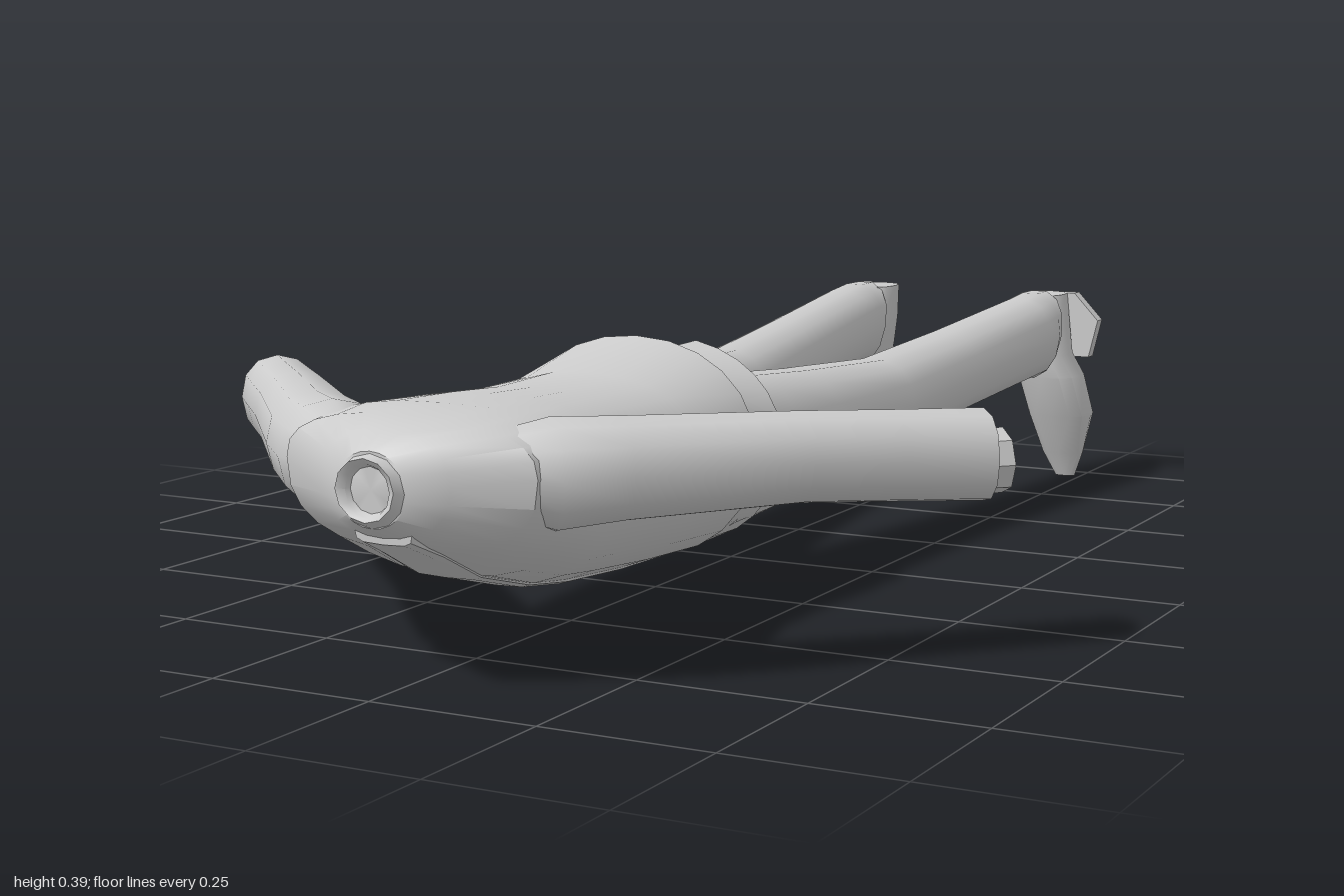
import * as THREE from 'three';
import { toCreasedNormals } from 'three/addons/utils/BufferGeometryUtils.js';

const V = (x, y, z) => new THREE.Vector3(x, y, z);
const UP = V(0, 1, 0);
const material = new THREE.MeshStandardMaterial({ color: 0xcccccc, side: THREE.DoubleSide });

// Rounded cross-section: v may reach further on one side than the other; power < 1 is boxier
function section(c, u, v, ru, rUp, rDown, power = 0.9, n = 16, from = 0, to = Math.PI * 2) {
  const closed = to - from > 6.28;
  const bend = (a) => Math.sign(a) * Math.pow(Math.abs(a), power);
  const ring = [];
  for (let i = 0; i < (closed ? n : n + 1); i++) {
    const t = from + (to - from) * i / n;
    const s = bend(Math.sin(t));
    ring.push(c.clone().addScaledVector(u, ru * bend(Math.cos(t))).addScaledVector(v, s * (s > 0 ? rUp : rDown)));
  }
  return ring;
}

// Skin joining the rings, with optional end caps
function loft(name, rings, { closed = true, capStart = true, capEnd = true, crease = 0.75 } = {}) {
  const n = rings[0].length, pos = [], index = [];
  rings.flat().forEach((p) => pos.push(p.x, p.y, p.z));
  for (let i = 0; i < rings.length - 1; i++) {
    for (let j = 0; j < (closed ? n : n - 1); j++) {
      const a = i * n + j, b = i * n + (j + 1) % n;
      index.push(a, b, b + n, a, b + n, a + n);
    }
  }
  const cap = (ring, base, flip) => {
    const m = ring.reduce((s, p) => s.add(p), V(0, 0, 0)).divideScalar(n);
    const k = pos.length / 3;
    pos.push(m.x, m.y, m.z);
    for (let j = 0; j < n; j++) {
      const a = base + j, b = base + (j + 1) % n;
      index.push(k, flip ? b : a, flip ? a : b);
    }
  };
  if (capStart) cap(rings[0], 0, true);
  if (capEnd) cap(rings[rings.length - 1], (rings.length - 1) * n, false);
  const g = new THREE.BufferGeometry();
  g.setAttribute('position', new THREE.Float32BufferAttribute(pos, 3));
  g.setIndex(index);
  const mesh = new THREE.Mesh(toCreasedNormals(g, crease), material);
  mesh.name = name;
  return mesh;
}

// Section across the body, given its extent: z, centre x, half width, bottom, top, widest height
const across = (z, cx, w, bottom, top, mid, power, n, from, to) =>
  section(V(cx, mid, z), V(-1, 0, 0), UP, w, top - mid, mid - bottom, power, n, from, to);

function arm(s) {
  const group = new THREE.Group();
  group.name = s > 0 ? 'leftArm' : 'rightArm';
  const d = V(0.698 * s, 0, -0.716), u = UP.clone().cross(d);
  const ring = ([x, z, r, bottom, top], n, power) => {
    const mid = (bottom + top) / 2;
    return section(V(x * s, mid, z), u, UP, r, top - mid, mid - bottom, power, n);
  };
  group.add(loft('sleeve', [
    [0.12, 0.87, 0.06, 0.23, 0.345],
    [0.17, 0.83, 0.075, 0.21, 0.36],
    [0.24, 0.77, 0.071, 0.22, 0.358],
    [0.41, 0.59, 0.062, 0.228, 0.352],
    [0.50, 0.495, 0.06, 0.222, 0.347],
    [0.592, 0.398, 0.057, 0.215, 0.343],
  ].map((a) => ring(a, 12, 0.9))));
  // Hollow wrist, folding inward at its open end
  group.add(loft('wrist', [
    [0.575, 0.415, 0.044, 0.225, 0.313],
    [0.608, 0.367, 0.046, 0.222, 0.313],
    [0.606, 0.369, 0.03, 0.24, 0.295],
    [0.585, 0.4, 0.026, 0.245, 0.29],
  ].map((a) => ring(a, 8, 1))));
  return group;
}

function leg(s) {
  const group = new THREE.Group();
  group.name = s > 0 ? 'leftLeg' : 'rightLeg';
  // Trouser leg: z, inner x, outer x, bottom, top, forward lean of the lower edge
  group.add(loft('trouserLeg', [
    [0.28, 0.0, 0.185, 0.1, 0.335, 0],
    [0.14, 0.0, 0.194, 0.108, 0.328, 0],
    [0.0, 0.022, 0.2, 0.125, 0.318, 0],
    [-0.25, 0.062, 0.212, 0.157, 0.306, 0],
    [-0.5, 0.088, 0.227, 0.18, 0.326, 0],
    [-0.8, 0.112, 0.246, 0.203, 0.354, 0.01],
    [-0.86, 0.116, 0.243, 0.204, 0.36, 0.02],
    [-0.91, 0.122, 0.235, 0.2, 0.36, 0.06],
  ].map(([z, a, b, lo, hi, lean]) => {
    const ring = across(z, s * (a + b) / 2, (b - a) / 2, lo, hi, (lo + hi) / 2, 0.9, 14);
    ring.forEach((p) => { p.z += lean * (hi - p.y) / (hi - lo); });
    return ring;
  })));
  // Shoe hanging toe down: y, inner x, outer x, instep z, sole z
  group.add(loft('shoe', [
    [0.35, 0.132, 0.215, -0.895, -0.995],
    [0.29, 0.13, 0.225, -0.87, -0.992],
    [0.24, 0.132, 0.235, -0.862, -0.982],
    [0.2, 0.14, 0.258, -0.868, -0.986],
    [0.125, 0.155, 0.272, -0.892, -1.0],
    [0.05, 0.176, 0.254, -0.93, -0.982],
    [0.004, 0.2, 0.238, -0.95, -0.966],
  ].map(([y, a, b, front, sole]) => {
    const r = (front - sole) / 2;
    return section(V(s * (a + b) / 2, y, (front + sole) / 2), V(1, 0, 0), V(0, 0, 1), (b - a) / 2, r, r, 0.8, 12);
  })));
  // Heel counter flaring outward behind the ankle
  const heel = new THREE.Shape([[0.2, 0.35], [0.225, 0.35], [0.272, 0.3], [0.255, 0.23], [0.2, 0.23]]
    .map(([x, y]) => new THREE.Vector2(x * s, y)));
  const flare = new THREE.Mesh(new THREE.ExtrudeGeometry(heel, { depth: 0.025, bevelEnabled: false }), material);
  flare.position.z = -0.998;
  flare.name = 'heelFlare';
  group.add(flare);
  return group;
}

export function createModel() {
  const model = new THREE.Group();
  model.name = 'proneFigure';

  // Jacket: z, half width, belly height, back height, widest height, boxiness
  const body = [
    [0.985, 0.055, 0.225, 0.325, 0.275, 1],
    [0.955, 0.1, 0.205, 0.348, 0.28, 0.9],
    [0.9, 0.195, 0.178, 0.36, 0.29, 0.8],
    [0.82, 0.212, 0.135, 0.365, 0.29, 0.8],
    [0.7, 0.197, 0.1, 0.362, 0.28, 0.85],
    [0.6, 0.18, 0.084, 0.357, 0.27, 0.9],
    [0.45, 0.186, 0.073, 0.36, 0.25, 0.9],
    [0.305, 0.2, 0.066, 0.397, 0.24, 0.95],
  ];
  model.add(loft('jacket', body.map(([z, w, lo, hi, mid, p]) => across(z, 0, w, lo, hi, mid, p, 24))));

  // Neck, hollow at the open end
  model.add(loft('neck', [
    [0.975, 0.028, 0.25, 0.3], [0.993, 0.034, 0.24, 0.31], [1.0, 0.045, 0.235, 0.318], [0.97, 0.058, 0.215, 0.326],
  ].map(([z, w, lo, hi]) => across(z, 0, w, lo, hi, (lo + hi) / 2, 1, 12)), { capEnd: false }));

  // Front panel running down the chest
  model.add(loft('frontPanel', [
    [0.96, 0.045, 0.2], [0.9, 0.055, 0.172], [0.82, 0.06, 0.13], [0.7, 0.06, 0.096],
    [0.6, 0.06, 0.081], [0.45, 0.06, 0.07], [0.23, 0.06, 0.064],
  ].map(([z, w, lo]) => across(z, 0, w, lo, lo + 0.04, lo + 0.02, 0.5, 12))));

  // Jacket tail, split at the back, its hem dipping beside the split
  const tail = [0.31, 0.215].map((z, i) => {
    const gap = i ? 0.22 : 0.05;
    const ring = across(z, 0, i ? 0.205 : 0.197, i ? 0.07 : 0.067, i ? 0.385 : 0.37, 0.24, 0.95, 28,
      Math.PI / 2 + gap, Math.PI * 2.5 - gap);
    if (i) ring.forEach((p) => { p.z = 0.2 + 0.03 * Math.min(1, Math.abs(p.x) / 0.2); });
    return ring;
  });
  model.add(loft('jacketTail', tail, { closed: false, capStart: false, capEnd: false }));

  // Hips joining the two legs
  model.add(loft('hips', [
    [0.32, 0.188, 0.085, 0.345], [0.22, 0.19, 0.1, 0.333], [0.16, 0.15, 0.125, 0.315], [0.125, 0.06, 0.16, 0.28],
  ].map(([z, w, lo, hi]) => across(z, 0, w, lo, hi, (lo + hi) / 2, 0.85, 20))));

  for (const s of [1, -1]) model.add(arm(s), leg(s));
  return model;
}
